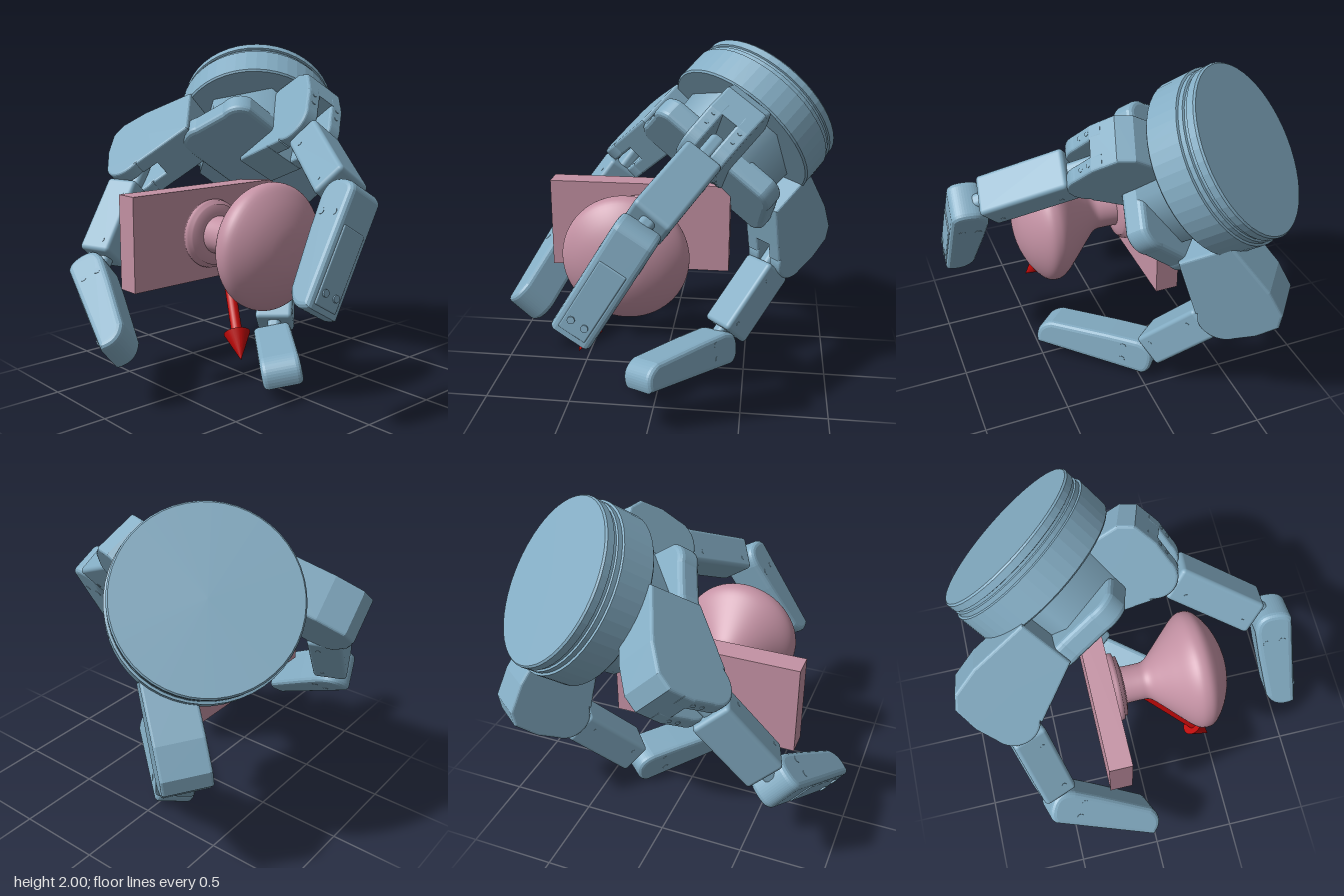
import * as THREE from 'three';
import { RoundedBoxGeometry } from 'three/addons/geometries/RoundedBoxGeometry.js';

const V = (x, y, z) => new THREE.Vector3(x, y, z);
const V2 = pts => pts.map(p => new THREE.Vector2(...p));
const steel = new THREE.MeshStandardMaterial({ color: 0x84adc4 });
const pink = new THREE.MeshStandardMaterial({ color: 0xc492a4 });
const red = new THREE.MeshStandardMaterial({ color: 0xc00808 });

const palmAxis = V(1, 1, -1).normalize();
const palmCap = V(0.595, 1.603, -0.52);
const knobCentre = V(-0.165, 0.89, 0.3);

function add(parent, name, geometry, material, x = 0, y = 0, z = 0) {
  const mesh = new THREE.Mesh(geometry, material);
  mesh.name = name;
  mesh.position.set(x, y, z);
  parent.add(mesh);
  return mesh;
}

// Group whose x runs along the part, y follows a hint and z is the hinge
function frame(name, origin, along, hint) {
  const x = along.clone().normalize();
  const z = x.clone().cross(hint).normalize();
  const y = z.clone().cross(x);
  const group = new THREE.Group();
  group.name = name;
  group.quaternion.setFromRotationMatrix(new THREE.Matrix4().makeBasis(x, y, z));
  group.position.copy(origin);
  return group;
}

// Bevelled slab of a side profile, centred on z
function slab(shape, width, bevel = 0.015) {
  const g = new THREE.ExtrudeGeometry(shape, {
    depth: width - 2 * bevel, bevelThickness: bevel, bevelSize: bevel,
    bevelOffset: -bevel, bevelSegments: 3, curveSegments: 12,
  });
  return g.translate(0, 0, -width / 2 + bevel);
}

function pin(radius, width) {
  return new THREE.CylinderGeometry(radius, radius, width, 24).rotateX(Math.PI / 2);
}

// Solid upper part of the knuckle, running in under the drum
function knuckleShape() {
  return new THREE.Shape(V2([[0.16, 0.13], [0.145, 0.29], [0.075, 0.355], [-0.1, 0.38], [-0.45, 0.36],
    [-0.46, 0.02], [-0.2, -0.075], [-0.15, 0.12]]));
}

// Fork arm around the hinge
function cheekShape() {
  const s = new THREE.Shape();
  s.moveTo(0.14, 0);
  s.lineTo(0.16, 0.13);
  s.lineTo(0.155, 0.2);
  s.lineTo(-0.2, 0.2);
  s.lineTo(-0.25, -0.055);
  s.lineTo(-0.1, -0.11);
  s.absarc(0, 0, 0.14, Math.PI * 1.25, Math.PI * 2, false);
  return s;
}

// Fingertip: straight back, thick heel, rounded nose
function tipShape(length) {
  const s = new THREE.Shape();
  s.moveTo(-0.03, -0.115);
  s.lineTo(length - 0.02, -0.09);
  s.quadraticCurveTo(length + 0.02, 0.03, length - 0.1, 0.075);
  s.lineTo(0.2, 0.095);
  s.lineTo(0.02, 0.1);
  s.quadraticCurveTo(-0.09, 0.09, -0.09, 0);
  s.quadraticCurveTo(-0.09, -0.1, -0.03, -0.115);
  return s;
}

function makeFinger(name, hinge, joint, tip) {
  const finger = new THREE.Group();
  finger.name = name;
  const d1 = joint.clone().sub(hinge), d2 = tip.clone().sub(joint);
  const axis = d1.clone().cross(d2).normalize();

  // Knuckle: solid block ending in a fork
  const out = axis.clone().cross(palmAxis);
  if (out.dot(hinge.clone().sub(palmCap)) < 0) out.negate();
  const knuckle = frame('knuckle', hinge, out, palmAxis);
  add(knuckle, 'knuckleBlock', slab(knuckleShape(), 0.27), steel);
  for (const s of [-1, 1]) {
    add(knuckle, 'knuckleFork', slab(cheekShape(), 0.09), steel, 0, 0, s * 0.09);
    for (const y of [0.05, 0.11]) {
      add(knuckle, 'knuckleBolt', pin(0.013, 0.012), steel, 0.137 + y * 0.15, y, s * 0.09).rotation.y = Math.PI / 2;
    }
  }

  // Middle link with a narrow lug reaching both hinges
  const len = d1.length();
  const link = frame('middleLink', hinge, d1, knobCentre.clone().sub(hinge));
  add(link, 'linkBody', new RoundedBoxGeometry(len - 0.23, 0.205, 0.235, 3, 0.025), steel, len / 2 + 0.005);
  add(link, 'linkLug', new RoundedBoxGeometry(len + 0.14, 0.13, 0.085, 3, 0.03), steel, len / 2);
  for (const x of [0.22, len - 0.18]) add(link, 'linkScrew', pin(0.014, 0.239), steel, x, 0.04, 0);

  // Fingertip with back plate and screws
  const tipLen = d2.length();
  const end = frame('fingertip', joint, d2, knobCentre.clone().sub(joint));
  add(end, 'tipBody', slab(tipShape(tipLen), 0.235, 0.03), steel);
  add(end, 'backPlate', new RoundedBoxGeometry(tipLen - 0.2, 0.02, 0.16, 2, 0.008), steel, tipLen / 2 + 0.05, -0.096, 0)
    .rotation.z = 0.04;
  for (const y of [-0.045, 0.045]) add(end, 'tipScrew', pin(0.02, 0.239), steel, 0.1, y, 0);
  for (const z of [-0.04, 0.04]) {
    add(end, 'padBolt', new THREE.CylinderGeometry(0.02, 0.02, 0.012, 16), steel, tipLen - 0.12, -0.103, z);
  }

  finger.add(knuckle, link, end);
  return finger;
}

function makePalm() {
  const palm = new THREE.Group();
  palm.name = 'palm';
  palm.position.copy(palmCap);
  // Local y is the palm axis, local x faces the upper finger
  const x = V(0.12, 0.3, 0.42).normalize();
  palm.quaternion.setFromRotationMatrix(
    new THREE.Matrix4().makeBasis(x, palmAxis, x.clone().cross(palmAxis)));

  // Stepped drum with a groove under the cap
  const profile = [[0, 0], [0.478, 0], [0.487, -0.01], [0.487, -0.05], [0.476, -0.054], [0.476, -0.07],
    [0.487, -0.074], [0.487, -0.1], [0.5, -0.104], [0.5, -0.29], [0.49, -0.3], [0, -0.3]];
  const drum = new THREE.LatheGeometry(V2(profile).reverse(), 48).toNonIndexed();
  drum.computeVertexNormals();
  add(palm, 'drum', drum, steel);
  add(palm, 'palmCore', new THREE.CylinderGeometry(0.38, 0.36, 0.32, 6), steel, 0, -0.43, 0);

  // Palm plate: two broad rounded wings, flat towards the upper finger
  const s = new THREE.Shape();
  for (const deg of [58, 104, 256, 302]) {
    const a = THREE.MathUtils.degToRad(deg);
    s.absarc(0.36 * Math.cos(a), 0.36 * Math.sin(a), 0.13, a - 0.7, a + 0.7, false);
  }
  s.closePath();
  add(palm, 'palmPlate', slab(s, 0.14, 0.03).rotateX(-Math.PI / 2), steel, 0, -0.58, 0);
  return palm;
}

function makeKnob() {
  const knob = new THREE.Group();
  knob.name = 'doorKnob';
  // Backplate
  add(knob, 'backplate', new THREE.BoxGeometry(1.1, 0.545, 0.135), pink, -0.163, 0.89, -0.172);
  // Stepped rose and flared handle, turned about z
  const rose = [[0, -0.105], [0.2, -0.105], [0.205, -0.085], [0.2, -0.065], [0.18, -0.06], [0.18, -0.045], [0.13, -0.035], [0, -0.03]];
  const curve = new THREE.SplineCurve(V2([[0.112, -0.05], [0.11, 0.05], [0.118, 0.11], [0.17, 0.17], [0.26, 0.26],
    [0.335, 0.34], [0.357, 0.4], [0.335, 0.46], [0.24, 0.53], [0.12, 0.575], [0, 0.587]]));
  const turn = pts => new THREE.LatheGeometry(pts, 64).rotateX(Math.PI / 2);
  add(knob, 'rose', turn(V2(rose)), pink, -0.165, 0.89, 0);
  add(knob, 'handle', turn(curve.getPoints(50)), pink, -0.165, 0.89, 0);
  return knob;
}

function makeArrow(from, to) {
  const arrow = new THREE.Group();
  arrow.name = 'arrow';
  const dir = to.clone().sub(from), len = dir.length();
  arrow.position.copy(from);
  arrow.quaternion.setFromUnitVectors(V(0, 1, 0), dir.normalize());
  add(arrow, 'arrowShaft', new THREE.CylinderGeometry(0.03, 0.03, len - 0.15, 20), red, 0, (len - 0.15) / 2, 0);
  add(arrow, 'arrowHead', new THREE.ConeGeometry(0.073, 0.16, 24), red, 0, len - 0.08, 0);
  return arrow;
}

export function createModel() {
  const model = new THREE.Group();
  model.name = 'gripperOnKnob';
  model.add(
    makePalm(),
    makeFinger('upperFinger', V(0.285, 1.49, 0.245), V(-0.045, 1.18, 0.86), V(-0.37, 0.65, 0.9)),
    makeFinger('lowerFinger', V(0.69, 0.65, -0.405), V(0.315, 0.13, -0.06), V(-0.12, 0.165, 0.46)),
    makeFinger('rearFinger', V(-0.28, 1.21, -0.68), V(-0.7, 0.645, -0.535), V(-0.87, 0.34, 0.01)),
    makeKnob(),
    makeArrow(V(-0.165, 0.89, 0), V(-0.435, 0.32, 0.47)),
  );
  return model;
}
